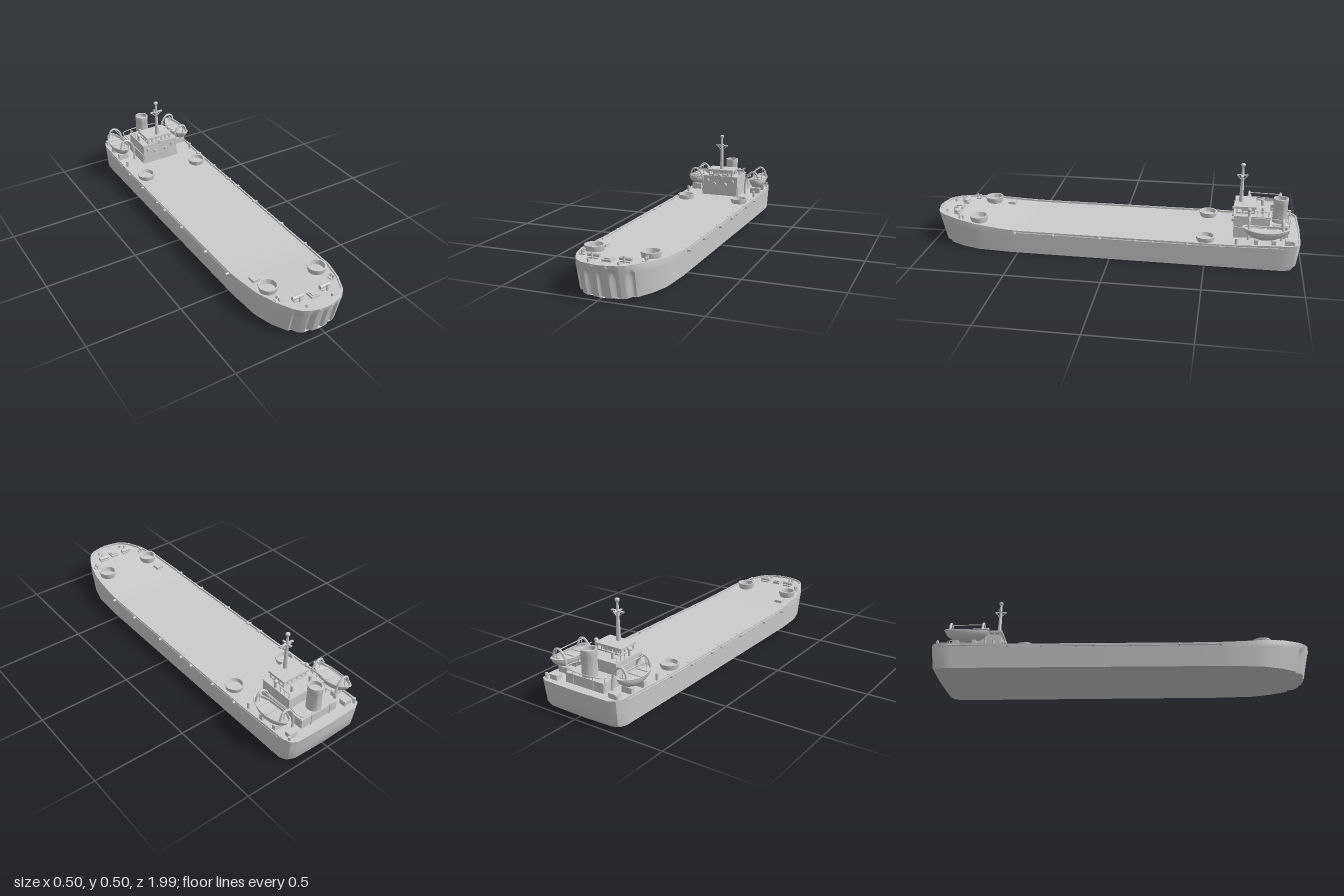
import * as THREE from 'three';
import { toCreasedNormals } from 'three/addons/utils/BufferGeometryUtils.js';

const grey = new THREE.MeshStandardMaterial({ color: 0xcccccc, side: THREE.DoubleSide });
const V = (x, y, z) => new THREE.Vector3(x, y, z);
const smooth = THREE.MathUtils.smoothstep;
const rimY = z => 0.13 + 0.033 * smooth(z, 0.45, 1) + 0.01 * smooth(-z, 0.6, 0.9);
const deckY = z => rimY(z) - 0.01;

function add(parent, name, geo, x = 0, y = 0, z = 0) {
  const m = new THREE.Mesh(geo, grey);
  m.name = name;
  m.position.set(x, y, z);
  parent.add(m);
  return m;
}
// box and cylinder standing on their base
const box = (p, n, w, h, d, x, y, z) => add(p, n, new THREE.BoxGeometry(w, h, d), x, y + h / 2, z);
const cyl = (p, n, r1, r2, h, x, y, z, s = 16) => add(p, n, new THREE.CylinderGeometry(r1, r2, h, s), x, y + h / 2, z);
const tube = (p, n, pts, r, seg = 20) =>
  add(p, n, new THREE.TubeGeometry(new THREE.CatmullRomCurve3(pts), seg, r, 8));
const lathe = (p, n, prof, x, y, z, s = 28) =>
  add(p, n, toCreasedNormals(new THREE.LatheGeometry(prof.map(a => new THREE.Vector2(...a)), s), 0.6), x, y, z);

// hull: plan outline lofted through rings from keel to bulwark and deck
function hullGeometry() {
  const plan = [[0, -0.99], [0.19, -0.985], [0.222, -0.968], [0.237, -0.925], [0.237, -0.55], [0.232, 0.55],
    [0.22, 0.74], [0.19, 0.85], [0.15, 0.93], [0.12, 0.965], [0.09, 0.983], [0.04, 0.995], [0, 1]];
  const half = [];
  plan.forEach(([x, z], k) => {
    if (k === plan.length - 1) return half.push([x, z]);
    const [x2, z2] = plan[k + 1];
    const n = z > 0.9 ? 8 : Math.ceil(Math.abs(z2 - z) / 0.06) || 1;
    for (let j = 0; j < n; j++) half.push([x + (x2 - x) * j / n, z + (z2 - z) * j / n]);
  });
  const ring = half.concat(half.slice(1, -1).reverse().map(([x, z]) => [-x, z]));
  const N = ring.length, last = half.length - 1;
  // [height share of rim, inset, drop below the rim]
  const levels = [[0, 0, 0], [0.12, 0, 0], [0.6, 0, 0], [0.74, 0, 0], [0.84, 0, 0], [1, 0, 0], [1, 0.008, 0], [1, 0.008, 0.01]];
  const pos = [], idx = [];
  levels.forEach(([t, inset, drop], r) => {
    for (const [x0, z0] of ring) {
      const low = 1 - t;
      let x = x0 * (1 - 0.03 * low) * (1 - inset / 0.237);
      let z = z0 * (1 - inset);
      z -= 0.038 * low * smooth(z0, 0.5, 1);
      z += (0.018 * low + (r === 0 ? 0.012 : 0)) * smooth(-z0, 0.85, 0.99);
      // flutes in the bow plating
      if (r < 4 && z0 > 0.9 && Math.abs(x0) < 0.147)
        z -= 0.018 * Math.max(0, Math.cos(x0 * Math.PI * 2 / 0.065)) * (r === 3 ? 0.7 : 1);
      // forecastle sides lean in at the top
      if (r >= 5) x *= 1 - 0.03 * smooth(z0, 0.5, 0.9);
      pos.push(x, rimY(z0) * t - drop, z);
    }
  });
  for (let r = 0; r < levels.length - 1; r++)
    for (let i = 0; i < N; i++) {
      const a = r * N + i, b = r * N + (i + 1) % N;
      idx.push(a, a + N, b, b, a + N, b + N);
    }
  // bottom and deck, in strips from side to side
  const top = (levels.length - 1) * N;
  for (let i = 0; i < last; i++) {
    const m = (N - i) % N, m2 = (N - i - 1) % N, j = i + 1;
    idx.push(top + i, top + m, top + j, top + j, top + m, top + m2);
    idx.push(i, j, m, j, m2, m);
  }
  const g = new THREE.BufferGeometry();
  g.setAttribute('position', new THREE.Float32BufferAttribute(pos, 3));
  g.setIndex(idx);
  return toCreasedNormals(g, 0.6);
}

// lifeboat with raised ends, gunwale, cover and thwarts
function lifeboat() {
  const g = new THREE.Group();
  const sheer = geo => {
    const p = geo.attributes.position;
    for (let i = 0; i < p.count; i++) p.setY(i, p.getY(i) + 1.1 * p.getZ(i) ** 2);
    geo.computeVertexNormals();
    return geo;
  };
  add(g, 'boatHull', sheer(new THREE.SphereGeometry(1, 28, 10, 0, Math.PI * 2, Math.PI / 2, Math.PI / 2).scale(0.047, 0.053, 0.115)));
  add(g, 'boatGunwale', sheer(new THREE.TorusGeometry(1, 0.06, 6, 32).rotateX(Math.PI / 2).scale(0.047, 0.06, 0.115)));
  add(g, 'boatFloor', sheer(new THREE.CircleGeometry(1, 28).rotateX(-Math.PI / 2).scale(0.044, 1, 0.108)), 0, -0.012, 0);
  for (const z of [-0.06, 0, 0.06]) box(g, 'thwart', 0.07, 0.004, 0.012, 0, -0.006, z);
  return g;
}

export function createModel() {
  const model = new THREE.Group();
  model.name = 'cargoShip';
  add(model, 'hull', hullGeometry());

  // open round tubs at bow and stern
  for (const [x, z, h] of [[-0.15, 0.735, 0.032], [0.14, 0.735, 0.032], [-0.17, -0.5, 0.027], [0.17, -0.5, 0.027]])
    lathe(model, 'roundTub', [[0.042, -0.005], [0.05, h - 0.006], [0.05, h], [0.041, h], [0.036, 0.008], [0, 0.008]], x, deckY(z), z);

  // fenders and stanchions along both sides
  for (const s of [-1, 1]) {
    for (const z of [-0.58, -0.41, -0.23, -0.14, 0.05, 0.3, 0.51]) {
      const f = add(model, 'sideFender', new THREE.CylinderGeometry(0.006, 0.008, 0.02, 8), s * 0.239, 0.118, z);
      f.rotation.z = s * -Math.PI / 2;
      box(model, 'railCleat', 0.012, 0.008, 0.02, s * 0.226, rimY(z) - 0.008, z);
    }
    // rubbing strake
    tube(model, 'rubbingStrake', [V(s * 0.236, 0.125, -0.9), V(s * 0.236, 0.118, -0.5), V(s * 0.232, 0.118, 0.5)], 0.003);
  }

  // foredeck gear
  const fore = new THREE.Group();
  fore.name = 'foredeckGear';
  model.add(fore);
  const fy = 0.148;
  box(fore, 'anchorHatch', 0.045, 0.013, 0.045, 0, fy, 0.89);
  box(fore, 'anchorHatchLid', 0.03, 0.006, 0.03, 0, fy + 0.013, 0.89);
  box(fore, 'sideHatch', 0.042, 0.014, 0.042, -0.157, deckY(0.63), 0.63);
  for (const s of [-1, 1]) {
    box(fore, 'windlassBase', 0.05, 0.008, 0.03, s * 0.08, fy, 0.875);
    const drum = add(fore, 'windlassDrum', new THREE.CylinderGeometry(0.01, 0.01, 0.06, 12), s * 0.08, fy + 0.018, 0.875);
    drum.rotation.z = Math.PI / 2;
    cyl(fore, 'windlassPost', 0.004, 0.006, 0.036, s * 0.08, fy, 0.895, 8);
    cyl(fore, 'bollard', 0.007, 0.006, 0.02, s * 0.075, fy, 0.94, 10);
    box(fore, 'mooringBase', 0.03, 0.006, 0.03, s * 0.16, deckY(0.83), 0.83);
    for (const d of [-0.009, 0.009]) cyl(fore, 'mooringPost', 0.006, 0.005, 0.025, s * 0.16, deckY(0.83), 0.83 + d, 10);
    const lug = add(fore, 'bowFairlead', new THREE.SphereGeometry(0.011, 12, 8), s * 0.033, 0.152, 0.99);
    lug.scale.z = 0.6;
  }

  // superstructure
  const house = new THREE.Group();
  house.name = 'superstructure';
  model.add(house);
  box(house, 'lowerHouse', 0.23, 0.06, 0.28, 0, 0.12, -0.785);
  box(house, 'mainHouse', 0.22, 0.12, 0.185, 0, 0.12, -0.735);
  box(house, 'mainHouseRoofEdge', 0.226, 0.005, 0.192, 0, 0.237, -0.736);
  box(house, 'bridgeSill', 0.15, 0.012, 0.1, 0, 0.237, -0.70);
  box(house, 'bridgeCore', 0.11, 0.035, 0.06, 0, 0.237, -0.71);
  for (const x of [-0.072, -0.045, -0.016, 0.016, 0.045, 0.072])
    for (const z of [-0.655, -0.745]) box(house, 'windowPost', 0.007, 0.03, 0.006, x, 0.242, z);
  for (const s of [-1, 1])
    for (const z of [-0.685, -0.715]) box(house, 'windowPost', 0.006, 0.03, 0.007, s * 0.072, 0.242, z);
  box(house, 'bridgeRoof', 0.162, 0.012, 0.112, 0, 0.27, -0.70);
  for (const [x, y] of [[-0.08, 0.21], [0.08, 0.21], [-0.035, 0.19], [0.035, 0.19], [0, 0.243]]) {
    const lamp = add(house, 'porthole', new THREE.CylinderGeometry(0.009, 0.011, 0.014, 14), x, y, -0.638);
    lamp.rotation.x = Math.PI / 2;
  }
  for (const s of [-1, 1]) {
    // cowl vents
    cyl(house, 'ventPipe', 0.007, 0.009, 0.1, s * 0.102, 0.18, -0.72, 12);
    add(house, 'ventHead', new THREE.SphereGeometry(0.011, 12, 8), s * 0.102, 0.276, -0.72);
    cyl(house, 'smallVent', 0.008, 0.008, 0.035, s * 0.06, 0.24, -0.79, 12);
    box(house, 'deckLocker', 0.045, 0.03, 0.035, s * 0.18, 0.125, -0.925);
    // open rails around the after house roof
    tube(house, 'roofRail', [V(s * 0.106, 0.272, -0.75), V(s * 0.106, 0.268, -0.825)], 0.0025, 2);
    for (const z of [-0.76, -0.79, -0.82]) cyl(house, 'railPost', 0.002, 0.002, 0.03, s * 0.106, 0.24, z, 6);
    tube(house, 'sternRail', [V(s * 0.115, 0.205, -0.84), V(s * 0.115, 0.205, -0.92), V(0, 0.205, -0.945)], 0.0025);
    for (const [x, z] of [[0.115, -0.85], [0.115, -0.915], [0.06, -0.933]]) cyl(house, 'railPost', 0.002, 0.002, 0.07, s * x, 0.135, z, 6);
  }

  // funnel, slightly oval and open at the top
  const funnel = lathe(model, 'funnel', [[0.04, 0], [0.037, 0.1], [0.039, 0.105], [0.039, 0.135], [0.031, 0.135], [0.03, 0.115], [0, 0.115]], 0, 0.177, -0.883);
  funnel.scale.x = 0.95;

  // mast with yard and braces
  const mast = new THREE.Group();
  mast.name = 'mast';
  model.add(mast);
  const mz = -0.675;
  cyl(mast, 'mastPole', 0.006, 0.012, 0.2, 0, 0.275, mz);
  lathe(mast, 'mastHead', [[0.006, 0], [0.012, 0.009], [0.012, 0.017], [0.007, 0.022], [0, 0.023]], 0, 0.473, mz, 12);
  box(mast, 'yard', 0.075, 0.006, 0.012, 0, 0.427, mz);
  box(mast, 'foreAftYard', 0.01, 0.006, 0.06, 0, 0.427, mz);
  for (const s of [-1, 1]) {
    tube(mast, 'yardBrace', [V(s * 0.032, 0.428, mz), V(s * 0.007, 0.405, mz)], 0.0025, 2);
    tube(mast, 'yardBrace', [V(0, 0.428, mz + s * 0.026), V(0, 0.405, mz + s * 0.007)], 0.0025, 2);
  }

  // lifeboats on curved davits, mirrored to both sides
  for (const s of [-1, 1]) {
    const boat = lifeboat();
    boat.name = s > 0 ? 'leftLifeboat' : 'rightLifeboat';
    boat.position.set(s * 0.2, 0.208, -0.805);
    model.add(boat);
    for (const z of [-0.72, -0.89]) {
      tube(model, 'davit', [V(s * 0.14, 0.125, z), V(s * 0.14, 0.19, z), V(s * 0.155, 0.24, z), V(s * 0.185, 0.265, z),
        V(s * 0.21, 0.258, z), V(s * 0.226, 0.215, z)], 0.006, 28);
      tube(model, 'davitStay', [V(s * 0.2, 0.264, z), V(s * 0.2, 0.205, z)], 0.002, 2);
      box(model, 'boatChock', 0.06, 0.035, 0.02, s * 0.195, 0.125, z + (z < -0.8 ? 0.04 : -0.04));
    }
    tube(model, 'davitSpan', [V(s * 0.185, 0.265, -0.72), V(s * 0.185, 0.262, -0.89)], 0.0025, 4);
    // bow-side bollards and rail lugs beside the boats
    for (const z of [-0.66, -0.95]) cyl(model, 'quarterBollard', 0.008, 0.007, 0.035, s * 0.215, 0.125, z, 10);
  }
  return model;
}
